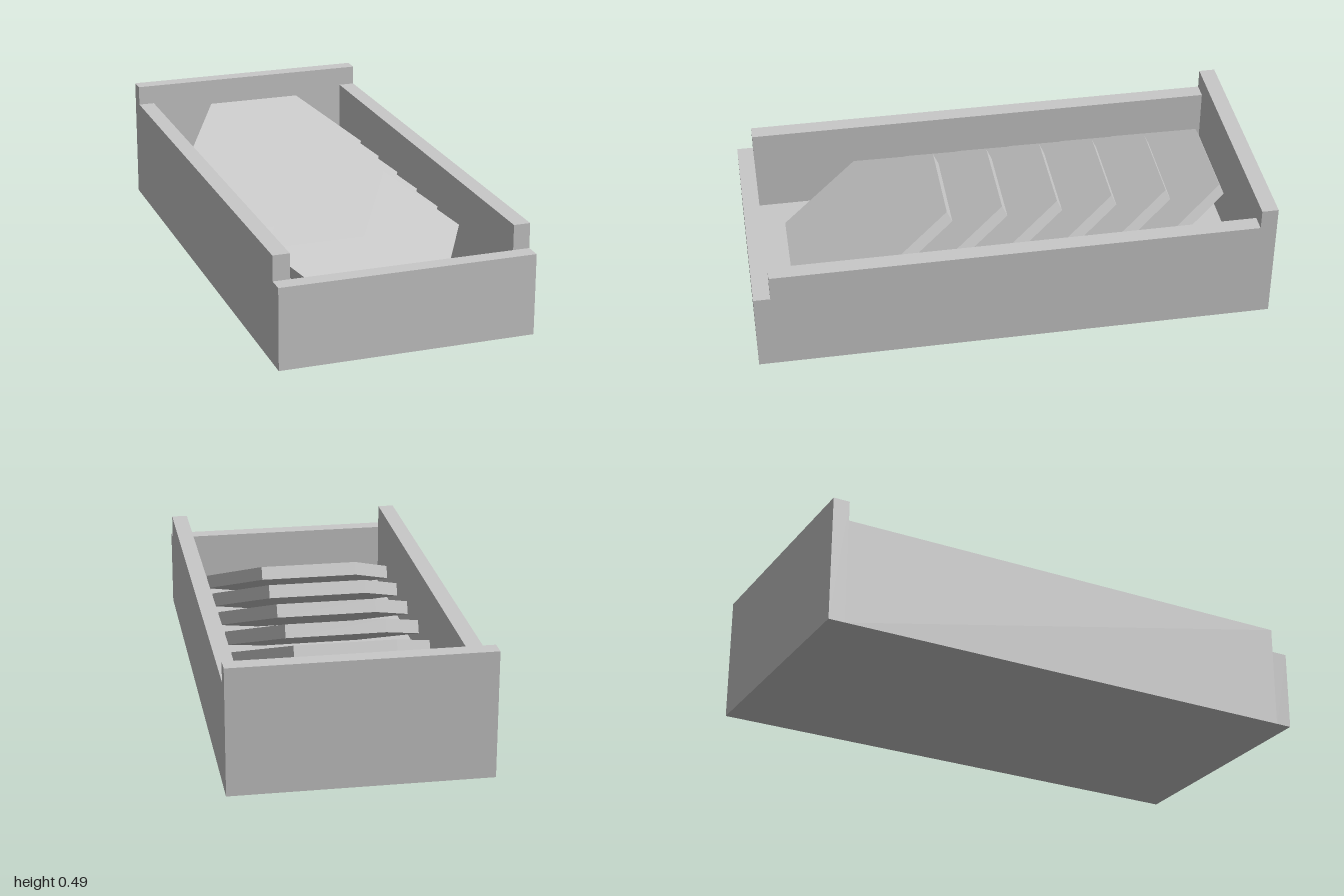
import * as THREE from 'three';

export function createModel() {
  const model = new THREE.Group();
  model.name = 'tileTray';
  const grey = new THREE.MeshStandardMaterial({ color: 0xc8c8c8, flatShading: true });
  grey.name = 'light grey';

  const W = 0.98, L = 2, T = 0.064; // tray width, length, wall thickness

  function box(name, w, y0, y1, d, x, z) {
    const mesh = new THREE.Mesh(new THREE.BoxGeometry(w, y1 - y0, d), grey);
    mesh.position.set(x, (y0 + y1) / 2, z);
    mesh.name = name;
    model.add(mesh);
  }

  // Tray: floor, low front wall, tall back wall, two side walls
  box('floor', W - 2 * T, 0, T, L - 2 * T, 0, 0);
  box('frontWall', W, 0, 0.315, T, 0, L / 2 - T / 2);
  box('backWall', W, 0, 0.49, T, 0, -L / 2 + T / 2);
  for (const side of [1, -1]) {
    box(side > 0 ? 'leftWall' : 'rightWall', T, 0, 0.412, L - 2 * T, side * (W / 2 - T / 2), 0);
  }

  // Row of six hexagonal tiles leaning back, corners pointing sideways
  const hexagon = new THREE.CylinderGeometry(0.385, 0.385, 0.052, 6, 1, false, Math.PI / 2);
  for (let i = 0; i < 6; i++) {
    const tile = new THREE.Mesh(hexagon, grey);
    tile.name = 'hexTile' + (i + 1);
    tile.rotation.x = THREE.MathUtils.degToRad(24);
    tile.position.set(0, 0.251, 0.523 - i * 0.216);
    model.add(tile);
  }
  return model;
}
